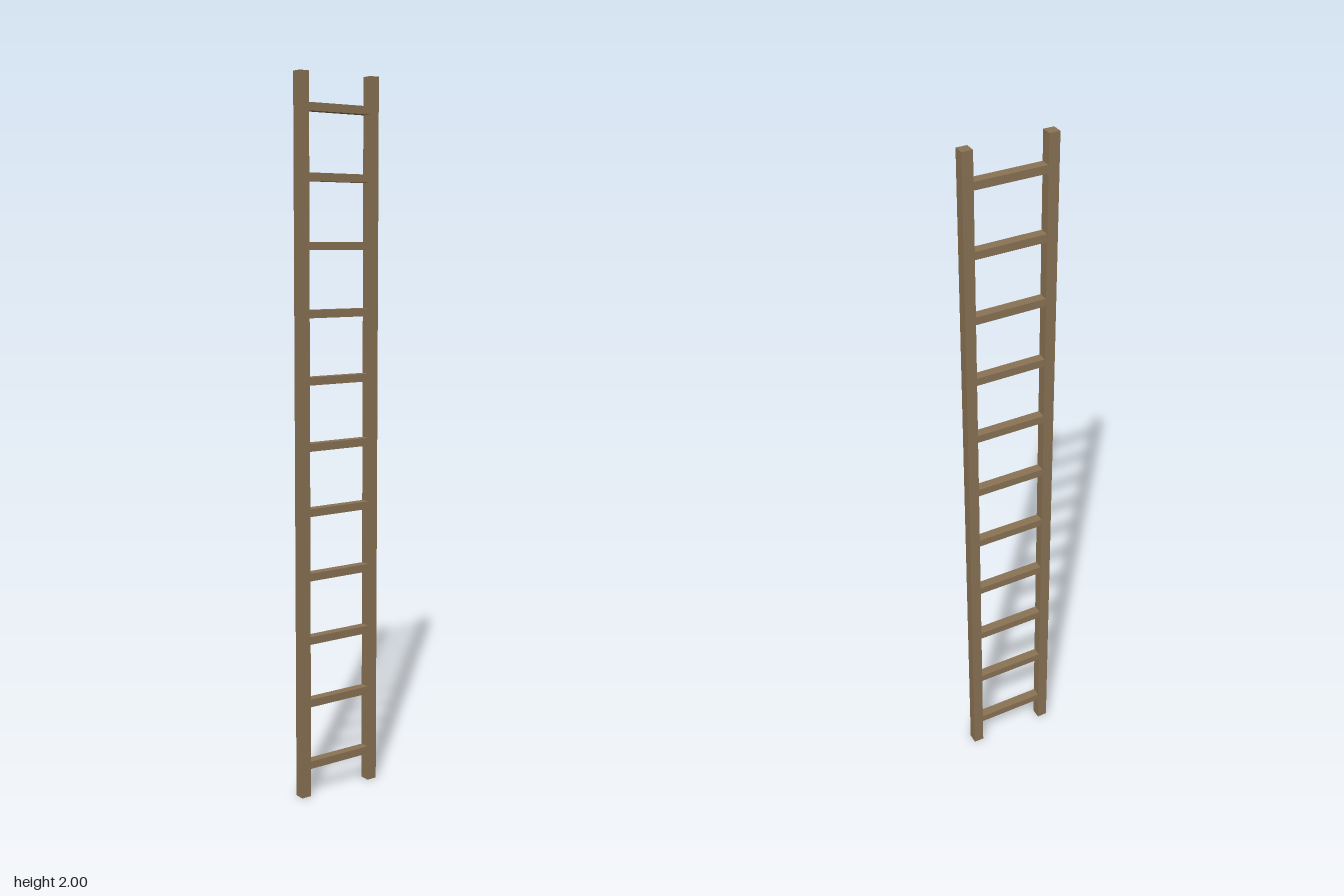
import * as THREE from 'three';

export function createModel() {
  const group = new THREE.Group();
  group.name = 'ladder';
  const wood = new THREE.MeshStandardMaterial({ color: 0x8b7355 });

  const addBeam = (name, size, position) => {
    const mesh = new THREE.Mesh(new THREE.BoxGeometry(...size), wood);
    mesh.name = name;
    mesh.position.set(...position);
    group.add(mesh);
  };

  // Two square uprights
  addBeam('leftRail', [0.03, 2, 0.03], [0.115, 1, 0]);
  addBeam('rightRail', [0.03, 2, 0.03], [-0.115, 1, 0]);

  // Evenly spaced rungs, a little slimmer than the rails
  const count = 11;
  const spacing = 2 / count;
  for (let i = 0; i < count; i++) {
    addBeam(`rung${i + 1}`, [0.2, 0.022, 0.027], [0, (i + 0.5) * spacing, 0]);
  }
  return group;
}
